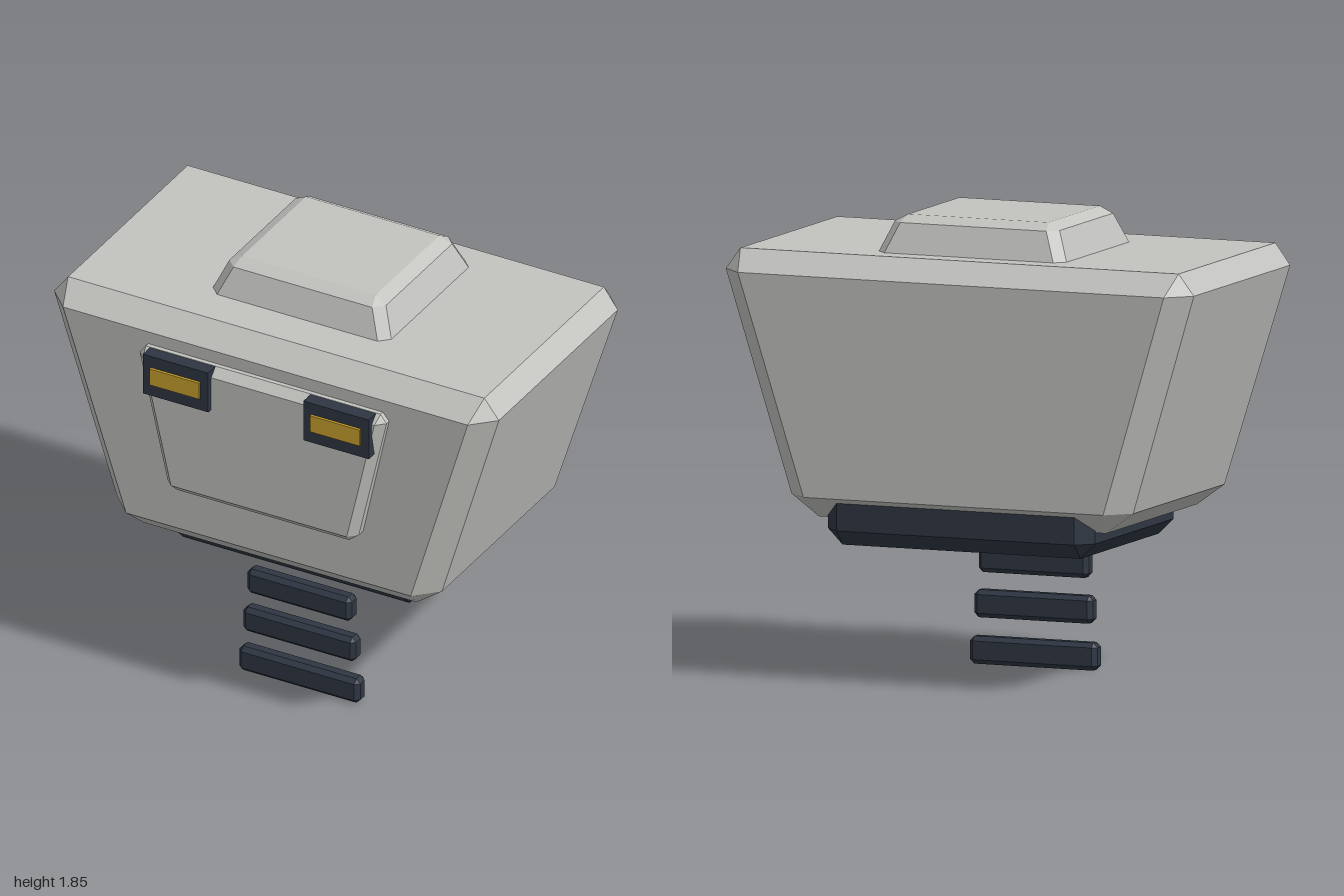
import * as THREE from 'three';
import { ConvexGeometry } from 'three/addons/geometries/ConvexGeometry.js';

// Box with bevelled edges whose half width and half depth taper linearly from y0 to y1.
function bevelBox({ y0, y1, x0, x1 = x0, z0, z1 = z0, z = 0, c, cy = c }) {
  const points = [];
  for (const y of [y0, y0 + cy, y1 - cy, y1]) {
    const t = (y - y0) / (y1 - y0);
    const hx = x0 + (x1 - x0) * t;
    const hz = z0 + (z1 - z0) * t;
    const cap = y === y0 || y === y1;
    const corners = cap ? [[hx - c, hz - c]] : [[hx, hz - c], [hx - c, hz]];
    for (const [px, pz] of corners)
      for (const sx of [-1, 1])
        for (const sz of [-1, 1]) points.push(new THREE.Vector3(sx * px, y, z + sz * pz));
  }
  return new ConvexGeometry(points);
}

export function createModel() {
  const material = (name, color) => {
    const m = new THREE.MeshStandardMaterial({ color, flatShading: true });
    m.name = name;
    return m;
  };
  const shell = material('lightGrey', 0xc3c3c0);
  const dark = material('darkSlate', 0x2f3743);
  const amber = material('amber', 0xcaa22e);

  const model = new THREE.Group();
  model.name = 'hoverHead';
  const add = (name, geometry, mat) => {
    const mesh = new THREE.Mesh(geometry, mat);
    mesh.name = name;
    model.add(mesh);
    return mesh;
  };

  // Tapered main shell
  add('shell', bevelBox({
    y0: 0.655, y1: 1.705, x0: 0.704, x1: 1.026, z0: 0.54, z1: 0.57, z: -0.042, c: 0.09, cy: 0.085,
  }), shell);

  // Raised cap on the roof
  add('roofCap', bevelBox({
    y0: 1.6, y1: 1.85, x0: 0.445, x1: 0.34, z0: 0.39, z1: 0.295, z: -0.081, c: 0.04, cy: 0.028,
  }), shell);

  // Face plate on the front
  add('facePlate', bevelBox({
    y0: 0.945, y1: 1.565, x0: 0.422, x1: 0.563, z0: 0.07, z: 0.508, c: 0.035,
  }), shell);

  // Dark base under the shell
  add('base', bevelBox({ y0: 0.55, y1: 0.8, x0: 0.57, z0: 0.451, z: -0.113, c: 0.062 }), dark);

  // Eyes: dark housing with an amber lens
  for (const [side, s] of [['left', 1], ['right', -1]]) {
    add(side + 'EyeHousing', new THREE.BoxGeometry(0.294, 0.18, 0.09), dark)
      .position.set(s * 0.361, 1.474, 0.557);
    add(side + 'EyeLens', new THREE.BoxGeometry(0.222, 0.074, 0.03), amber)
      .position.set(s * 0.361, 1.476, 0.598);
  }

  // Floating bars below, wider towards the bottom
  [[0, 0.272], [0.185, 0.253], [0.365, 0.235]].forEach(([y, hx], i) => {
    add('neckBar' + (i + 1), bevelBox({ y0: y, y1: y + 0.11, x0: hx, z0: 0.035, z: 0.231, c: 0.018 }), dark);
  });

  return model;
}
